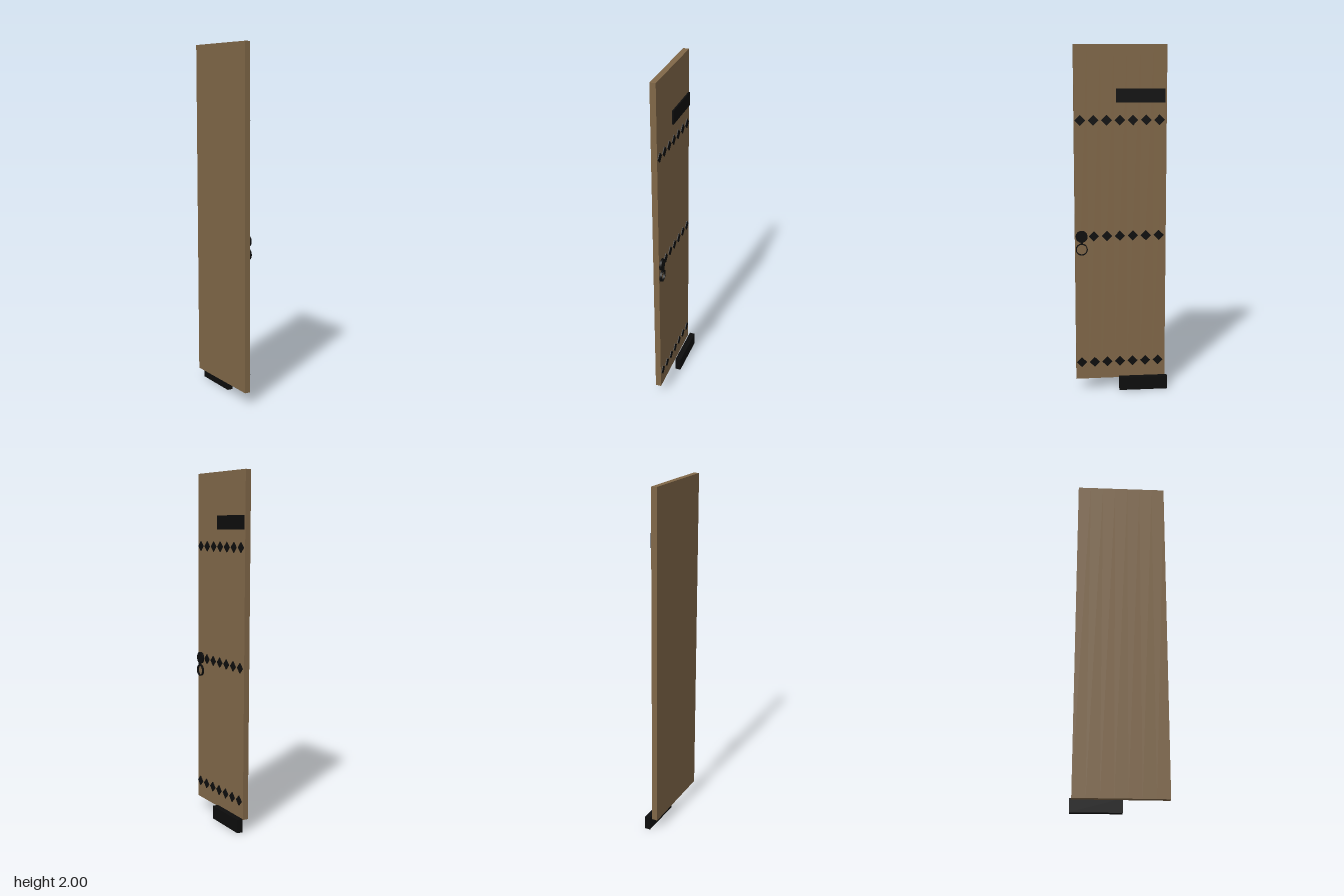
import * as THREE from 'three';

const wood = new THREE.MeshStandardMaterial({ color: 0x806748 });
const iron = new THREE.MeshStandardMaterial({ color: 0x0d0d0d });

function add(parent, name, geometry, material, x, y, z) {
  const mesh = new THREE.Mesh(geometry, material);
  mesh.name = name;
  mesh.position.set(x, y, z);
  parent.add(mesh);
  return mesh;
}

export function createModel() {
  const model = new THREE.Group();
  model.name = 'plankDoor';

  // Leaning door leaf: its outer face is the local plane x = 0
  const leaf = new THREE.Group();
  leaf.name = 'doorLeaf';
  leaf.position.set(0, 0.066, 0.004);
  leaf.rotation.z = 0.0052;
  model.add(leaf);

  // Seven flush vertical planks
  const count = 7, width = 0.0747, height = 1.934, thickness = 0.033;
  const plankZ = (i) => (3 - i) * width;
  const plank = new THREE.BoxGeometry(thickness, height, width);
  for (let i = 0; i < count; i++) {
    add(leaf, 'plank', plank, wood, -thickness / 2, height / 2, plankZ(i));
  }

  // Three rows of diamond studs; the handle takes the first place in the middle row
  const stud = new THREE.BoxGeometry(0.008, 0.042, 0.042).rotateX(Math.PI / 4);
  [0.102, 0.858, 1.518].forEach((y, row) => {
    for (let i = 0; i < count; i++) {
      if (row === 1 && i === 0) continue;
      add(leaf, 'stud', stud, iron, 0, y, plankZ(i) + 0.004);
    }
  });

  // Upper hinge strap
  add(leaf, 'upperHingeStrap', new THREE.BoxGeometry(0.016, 0.077, 0.278), iron, 0.001, 1.654, -0.113);

  // Handle: round plate, boss and hanging ring
  const handle = new THREE.Group();
  handle.name = 'handle';
  handle.position.set(0, 0.858, 0.224);
  leaf.add(handle);
  const disc = (r, depth) => new THREE.CylinderGeometry(r, r, depth, 24).rotateZ(Math.PI / 2);
  add(handle, 'handlePlate', disc(0.034, 0.016), iron, 0.004, 0, 0);
  add(handle, 'handleBoss', new THREE.BoxGeometry(0.014, 0.06, 0.012), iron, 0.009, -0.014, 0);

  const band = new THREE.Shape().absarc(0, 0, 0.034, 0, Math.PI * 2);
  band.holes.push(new THREE.Path().absarc(0, 0, 0.029, 0, Math.PI * 2, true));
  const ring = new THREE.ExtrudeGeometry(band, { depth: 0.012, bevelEnabled: false, curveSegments: 24 });
  ring.rotateY(Math.PI / 2);
  add(handle, 'handleRing', ring, iron, 0.001, -0.075, 0);

  // Lower hinge strap, lying loose at the foot of the door
  const loose = add(model, 'lowerHingeStrap', new THREE.BoxGeometry(0.033, 0.077, 0.282), iron, 0.024, 0.0385, -0.127);
  loose.rotation.y = -0.012;

  return model;
}
